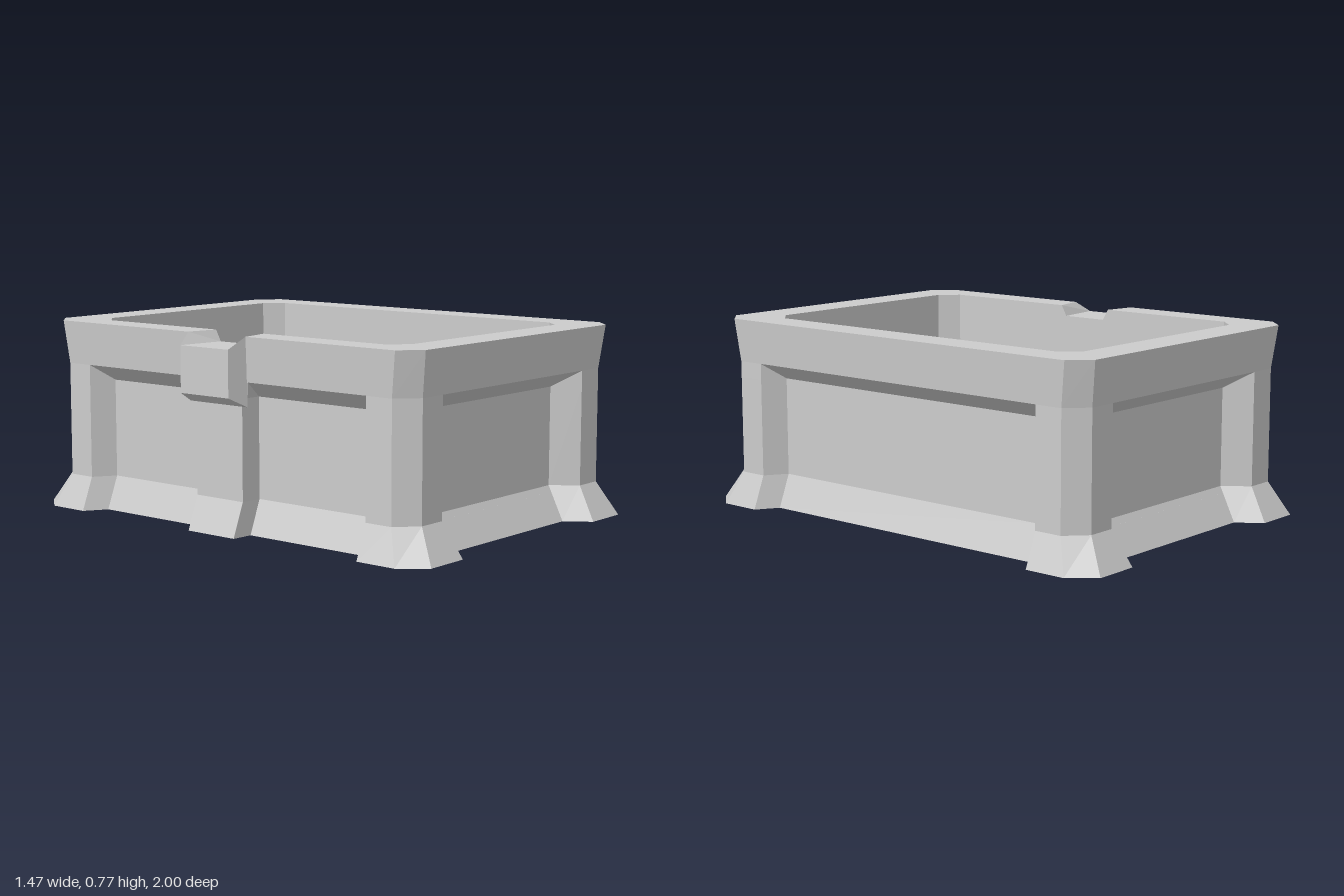
import * as THREE from 'three';

const TOP = 0.775, NOTCH = 0.73, FLOOR = 0.11, CX = 0.012;

const material = new THREE.MeshStandardMaterial({
  color: 0xcccccc, flatShading: true, side: THREE.DoubleSide,
});

// Mesh from a list of quads, each four [x, y, z] corners
function quadMesh(name, quads) {
  const pos = [];
  for (const [a, b, c, d] of quads) pos.push(...a, ...b, ...c, ...a, ...c, ...d);
  const g = new THREE.BufferGeometry();
  g.setAttribute('position', new THREE.Float32BufferAttribute(pos, 3));
  g.computeVertexNormals();
  const m = new THREE.Mesh(g, material);
  m.name = name;
  return m;
}

// Quads joining closed outlines, stacked in order
function loft(levels) {
  const quads = [];
  for (let k = 0; k + 1 < levels.length; k++) {
    const lo = levels[k], up = levels[k + 1], n = lo.length;
    for (let i = 0; i < n; i++) {
      const j = (i + 1) % n;
      quads.push([lo[i], lo[j], up[j], up[i]]);
    }
  }
  return quads;
}

// Flat horizontal polygon facing up, from [x, z] points
function flatMesh(name, points, y) {
  const shape = new THREE.Shape(points.map(([x, z]) => new THREE.Vector2(x, -z)));
  const g = new THREE.ShapeGeometry(shape);
  g.rotateX(-Math.PI / 2);
  g.translate(0, y, 0);
  const m = new THREE.Mesh(g, material);
  m.name = name;
  return m;
}

// Rectangle with cut corners, starting at the front end of the -x side
function octagon(cx, hx, hz, kx, kz) {
  return [
    [-hx, hz - kz], [-hx + kx, hz], [hx - kx, hz], [hx, hz - kz],
    [hx, -hz + kz], [hx - kx, -hz], [-hx + kx, -hz], [-hx, -hz + kz],
  ].map(([x, z]) => [x + cx, z]);
}

// Outer wall outline at one height: corner posts, recessed panels, rib on the -x side
function outline({ y, hx, hz, kx, kz, open, inner, sideOpen, sideInner, dx, dz, rib }) {
  const pts = [];
  const front = [[-hx + kx, hz], [-open, hz], [-inner, hz - dz],
    [inner, hz - dz], [open, hz], [hx - kx, hz]];
  const [b, f] = rib;
  pts.push(...front);
  pts.push([hx, hz - kz], [hx, sideOpen], [hx - dx, sideInner],
    [hx - dx, -sideInner], [hx, -sideOpen], [hx, -hz + kz]);
  pts.push(...front.map(([x, z]) => [-x, -z]));
  pts.push([-hx, -hz + kz], [-hx, -sideOpen], [-hx + dx, -sideInner],
    [-hx + dx, -b], [-hx, -f, true], [-hx, f, true], [-hx + dx, b],
    [-hx + dx, sideInner], [-hx, sideOpen], [-hx, hz - kz]);
  // the wall dips to the notch at the top
  return pts.map(([x, z, mid]) => [x + CX, mid ? Math.min(y, NOTCH) : y, z]);
}

export function createModel() {
  const group = new THREE.Group();

  // Outer wall with flared feet, recessed panels and leaning rim
  const post = {
    hx: 0.665, hz: 0.92, kx: 0.08, kz: 0.077, open: 0.465, inner: 0.39,
    sideOpen: 0.725, sideInner: 0.67, dx: 0.09, dz: 0.1, rib: [0.125, 0.12],
  };
  const flush = { ...post, inner: 0.465, sideInner: 0.725, dx: 0, dz: 0, rib: [0.15, 0.12] };
  group.add(quadMesh('outerWall', loft([
    outline({ ...post, y: 0, hx: 0.718, hz: 1, kx: 0.085, kz: 0.1, open: 0.4425, inner: 0.3725 }),
    outline({ ...post, y: 0.135 }),
    outline({ ...post, y: 0.535 }),
    outline({ ...flush, y: 0.6 }),
    outline({ ...flush, y: TOP, hx: 0.677, hz: 0.942, kx: 0.078, rib: [0.15, 0.118] }),
  ])));

  // Cavity wall, dipping at the spout notch
  const cavity = octagon(0.005, 0.54, 0.787, 0.07, 0.07);
  const mouth = [[-0.535, -0.125], [-0.535, -0.1], [-0.535, 0.1], [-0.535, 0.125]];
  const inside = [...cavity, ...mouth];
  group.add(quadMesh('cavityWall', loft([
    inside.map(([x, z]) => [x, Math.abs(z) < 0.11 ? NOTCH : TOP, z]),
    inside.map(([x, z]) => [x, FLOOR, z]),
  ])));

  // Rim top, open at the notch
  const rim = octagon(CX, 0.677, 0.942, 0.078, 0.08);
  group.add(flatMesh('rimTop', [
    [-0.665, 0.15], ...rim, [-0.665, -0.15],
    mouth[0], ...[...cavity].reverse(), mouth[3],
  ], TOP));

  // Floor inside the skirt
  group.add(flatMesh('floor', octagon(CX, 0.583, 0.835, 0.06, 0.06), FLOOR));

  // Spout with sloped notch sides
  const ends = [1, -1].map((s) => ({
    lip: [-0.735, NOTCH, 0.125 * s], rimOut: [-0.665, TOP, 0.15 * s],
    rimIn: [-0.535, TOP, 0.125 * s], notchIn: [-0.535, NOTCH, 0.1 * s],
    chin: [-0.735, 0.545, 0.125 * s], root: [-0.655, 0.505, 0.15 * s],
    back: [-0.655, 0.6, 0.15 * s],
  }));
  const [p, q] = ends;
  const sides = ends.flatMap((e, i) => [
    [e.lip, e.rimOut, e.rimIn, e.notchIn],
    [e.lip, e.chin, e.root, e.rimOut],
  ].map((f) => (i ? f : f.reverse())));
  // notch slopes face inward, outer cheeks outward
  sides[1].reverse();
  sides[3].reverse();
  sides[0].reverse();
  sides[2].reverse();
  group.add(quadMesh('spout', [
    ...sides,
    [q.lip, q.chin, p.chin, p.lip],
    [p.chin, q.chin, q.root, p.root],
    [p.lip, p.notchIn, q.notchIn, q.lip],
    [p.root, q.root, q.back, p.back],
  ]));

  return group;
}
